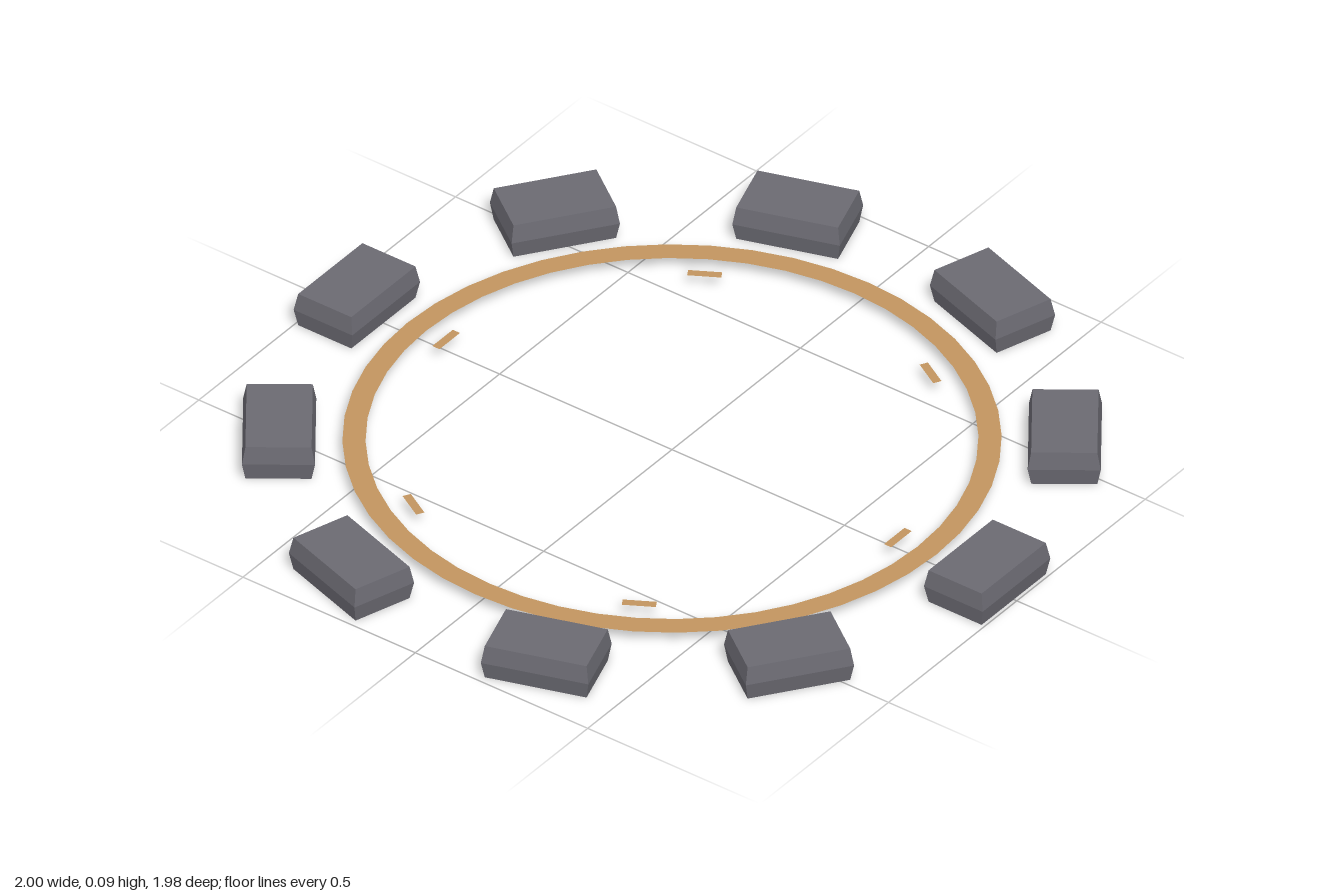
import * as THREE from 'three';

const stone = new THREE.MeshStandardMaterial({ color: 0x6b6a72, flatShading: true });
stone.name = 'stone grey';
const sand = new THREE.MeshStandardMaterial({ color: 0xc2955f, side: THREE.DoubleSide });
sand.name = 'sandy tan';

// Rough block: its middle ridge bulges out, the top and bottom rims are drawn in
function stoneGeometry() {
  const g = new THREE.BoxGeometry(0.17, 0.09, 0.264, 1, 2, 1);
  const p = g.attributes.position;
  for (let i = 0; i < p.count; i++) {
    if (Math.abs(p.getY(i)) > 0.01) {
      p.setX(i, p.getX(i) - Math.sign(p.getX(i)) * 0.008);
      p.setZ(i, p.getZ(i) - Math.sign(p.getZ(i)) * 0.007);
    }
  }
  g.computeVertexNormals();
  return g;
}

export function createModel() {
  const model = new THREE.Group();
  model.name = 'stoneCircle';
  const floorY = 0.032;

  // Ten stones around the outside
  const block = stoneGeometry();
  for (let i = 0; i < 10; i++) {
    const a = (i / 10) * Math.PI * 2;
    const m = new THREE.Mesh(block, stone);
    m.name = 'stone' + (i + 1);
    m.position.set(Math.cos(a) * 0.914, 0.045, -Math.sin(a) * 0.914);
    m.rotation.y = a;
    model.add(m);
  }

  // Flat ring inside the stones
  const ring = new THREE.Mesh(new THREE.RingGeometry(0.713, 0.767, 48).rotateX(-Math.PI / 2), sand);
  ring.name = 'floorRing';
  ring.position.y = floorY;
  model.add(ring);

  // Six short flat marks inside the ring
  const dash = new THREE.PlaneGeometry(0.021, 0.08).rotateX(-Math.PI / 2);
  for (let i = 0; i < 6; i++) {
    const a = (i / 6) * Math.PI * 2;
    const m = new THREE.Mesh(dash, sand);
    m.name = 'floorMark' + (i + 1);
    m.position.set(Math.cos(a) * 0.655, floorY, -Math.sin(a) * 0.655);
    m.rotation.y = a;
    model.add(m);
  }
  return model;
}
